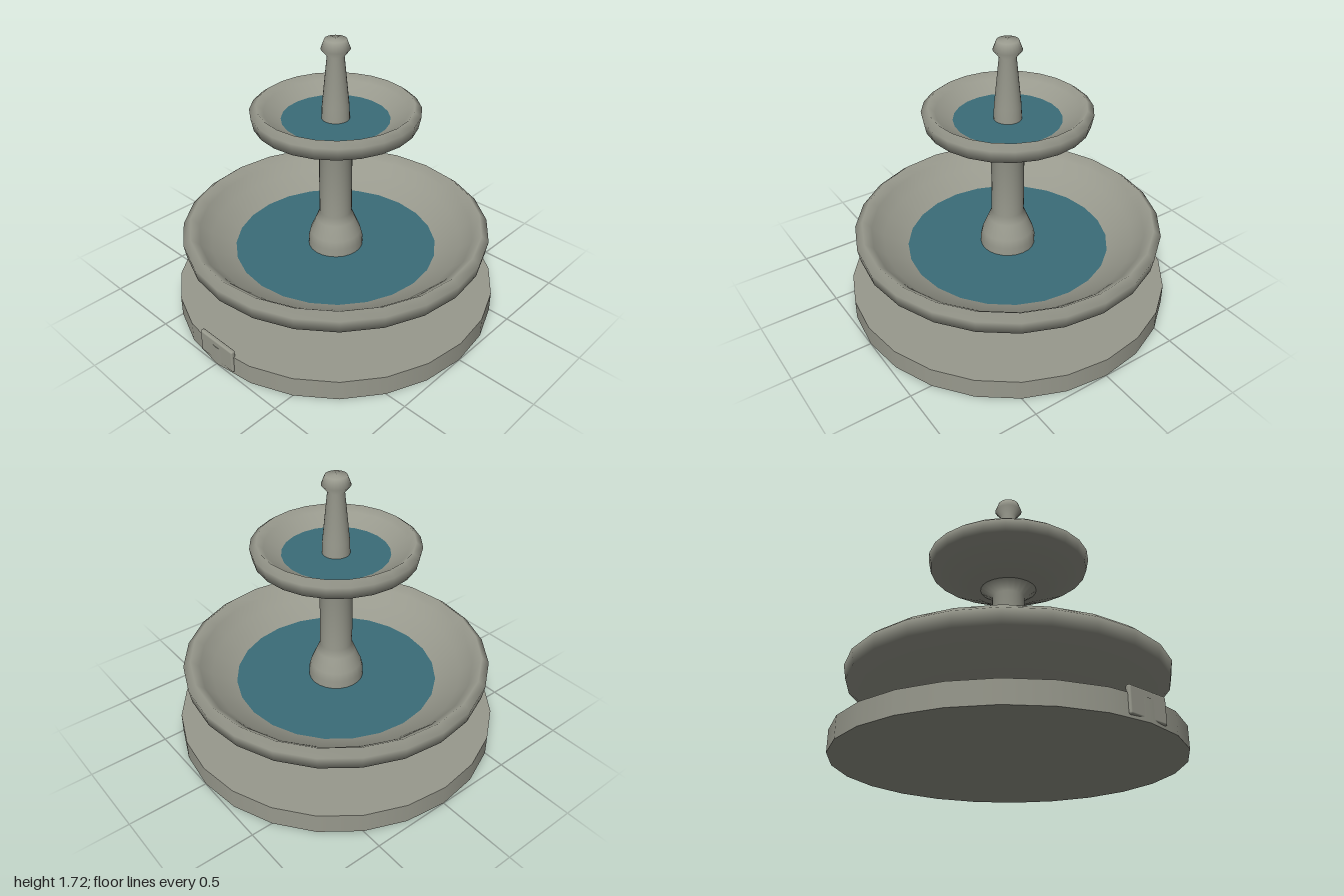
import * as THREE from 'three';
import { RoundedBoxGeometry } from 'three/addons/geometries/RoundedBoxGeometry.js';

const SIDES = 24;

export function createModel() {
  const fountain = new THREE.Group();
  fountain.name = 'fountain';
  const stone = new THREE.MeshStandardMaterial({ color: 0x98998d });
  const water = new THREE.MeshStandardMaterial({ color: 0x3a6c78 });

  const add = (name, geometry, material = stone) => {
    const mesh = new THREE.Mesh(geometry, material);
    mesh.name = name;
    fountain.add(mesh);
    return mesh;
  };
  // Turned part from [radius, height] pairs, running up the outside
  const turned = (name, profile) =>
    add(name, new THREE.LatheGeometry(profile.map(([r, y]) => new THREE.Vector2(r, y)), SIDES));
  const pool = (name, radius, y) => {
    const disc = add(name, new THREE.CircleGeometry(radius, SIDES), water);
    disc.rotation.x = -Math.PI / 2;
    disc.position.y = y;
  };

  // Round plinth
  add('plinth', new THREE.CylinderGeometry(1, 1, 0.127, SIDES)).position.y = 0.0635;

  // Plaque set into the front of the plinth
  add('plaque', new RoundedBoxGeometry(0.284, 0.152, 0.03, 2, 0.012)).position.set(0, 0.092, 0.98);

  // Lower basin: outside, rolled rim, then inside down to the floor
  turned('lowerBasin', [
    [0.5, 0.127], [0.63, 0.235], [0.935, 0.425], [0.95, 0.51], [0.905, 0.545],
    [0.85, 0.5], [0.78, 0.435], [0.63, 0.36], [0.45, 0.3], [0, 0.28],
  ]);
  pool('lowerWater', 0.635, 0.36);

  // Column with a bell foot and a flared head
  turned('column', [
    [0.17, 0.29], [0.17, 0.41], [0.158, 0.46], [0.12, 0.55], [0.1, 0.6],
    [0.1, 1.04], [0.18, 1.095],
  ]);

  // Upper basin: underside, outside, rim and inside
  turned('upperBasin', [
    [0, 1.088], [0.22, 1.09], [0.485, 1.22], [0.5, 1.295], [0.46, 1.325],
    [0.42, 1.29], [0.32, 1.235], [0.2, 1.19], [0, 1.18],
  ]);
  pool('upperWater', 0.32, 1.235);

  // Tapering spout with a bulbous tip
  turned('spout', [
    [0.085, 1.18], [0.08, 1.32], [0.05, 1.62], [0.085, 1.662], [0.064, 1.718], [0, 1.723],
  ]);

  return fountain;
}
